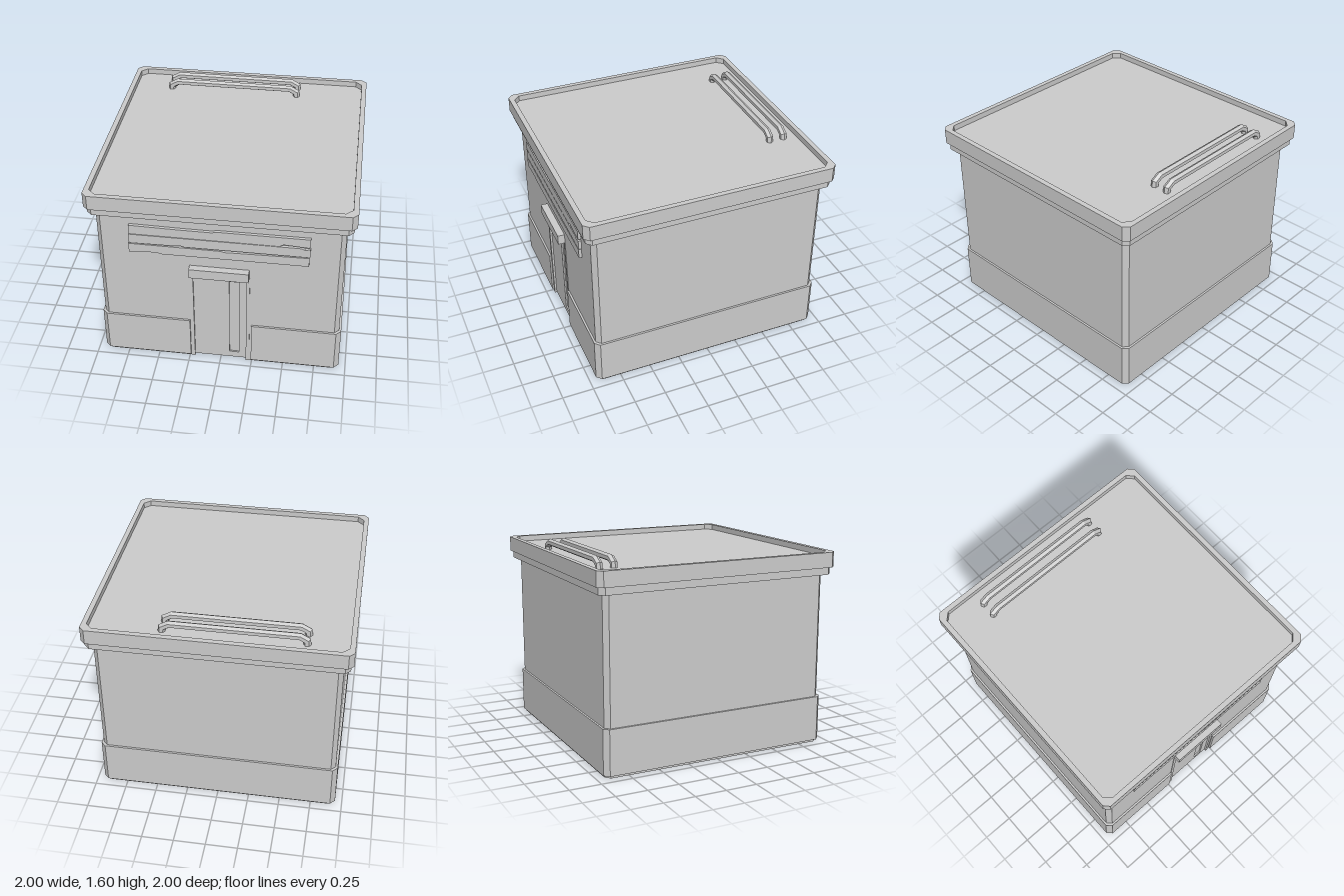
import * as THREE from 'three';

const material = new THREE.MeshStandardMaterial({ color: 0xcccccc, flatShading: true });

function add(group, name, geometry) {
  const mesh = new THREE.Mesh(geometry, material);
  mesh.name = name;
  group.add(mesh);
  return mesh;
}

function box(group, name, x0, x1, y0, y1, z0, z1) {
  const mesh = add(group, name, new THREE.BoxGeometry(x1 - x0, y1 - y0, z1 - z0));
  mesh.position.set((x0 + x1) / 2, (y0 + y1) / 2, (z0 + z1) / 2);
  return mesh;
}

// Corners of a square with cut corners, with an optional notch in the front (+z) side.
function plan(half, cut, notch) {
  const a = half - cut;
  const front = notch
    ? [[-a, half], [notch.x0, half], [notch.x0, notch.z], [notch.x1, notch.z], [notch.x1, half], [a, half]]
    : [[-a, half], [a, half]];
  return [...front, [half, a], [half, -a], [a, -half], [-a, -half], [-half, -a], [-half, a]]
    .map(([x, z]) => new THREE.Vector2(x, -z));
}

// Upright slab from y0 to y1 over a floor plan.
function slab(group, name, points, y0, y1, hole) {
  const shape = new THREE.Shape(points);
  if (hole) shape.holes.push(new THREE.Path(hole));
  const geometry = new THREE.ExtrudeGeometry(shape, { depth: y1 - y0, bevelEnabled: false });
  geometry.rotateX(-Math.PI / 2).translate(0, y0, 0);
  return add(group, name, geometry);
}

// Panel drawn in the front plane, from z0 to z1.
function panel(group, name, corners, z0, z1, hole) {
  const toPoints = (list) => list.map(([x, y]) => new THREE.Vector2(x, y));
  const shape = new THREE.Shape(toPoints(corners));
  if (hole) shape.holes.push(new THREE.Path(toPoints(hole)));
  const geometry = new THREE.ExtrudeGeometry(shape, { depth: z1 - z0, bevelEnabled: false });
  return add(group, name, geometry.translate(0, 0, z0));
}

const rect = (x0, x1, y0, y1) => [[x0, y0], [x1, y0], [x1, y1], [x0, y1]];

// Six-sided pipe along a path in the xy plane, with mitred bends and a ridge on top.
function pipeGeometry(path, radius, sides = 6) {
  const points = path.map(([x, y]) => new THREE.Vector2(x, y));
  const positions = [];
  const index = [];
  points.forEach((p, i) => {
    const before = p.clone().sub(points[Math.max(i - 1, 0)]).normalize();
    const after = points[Math.min(i + 1, points.length - 1)].clone().sub(p).normalize();
    const tangent = before.clone().add(after).normalize();
    const stretch = 1 / Math.max(tangent.dot(after), tangent.dot(before));
    for (let k = 0; k < sides; k++) {
      const angle = (k / sides) * Math.PI * 2;
      const out = Math.cos(angle) * radius * stretch;
      positions.push(p.x - tangent.y * out, p.y + tangent.x * out, Math.sin(angle) * radius);
      if (i === 0) continue;
      const a = (i - 1) * sides + k;
      const b = (i - 1) * sides + ((k + 1) % sides);
      index.push(a, b, a + sides, b, b + sides, a + sides);
    }
  });
  const geometry = new THREE.BufferGeometry();
  geometry.setAttribute('position', new THREE.Float32BufferAttribute(positions, 3));
  geometry.setIndex(index);
  geometry.computeVertexNormals();
  return geometry;
}

export function createModel() {
  const model = new THREE.Group();
  model.name = 'building';

  // Walls, with a shallow doorway in the lower part
  slab(model, 'lowerWalls', plan(0.93, 0.036, { x0: -0.21, x1: 0.205, z: 0.9 }), 0, 0.857);
  slab(model, 'upperWalls', plan(0.93, 0.036), 0.857, 1.4);

  // Skirting around the foot, open at the door
  slab(model, 'skirting', plan(0.946, 0.038, { x0: -0.24, x1: 0.245, z: 0.89 }), 0.02, 0.382);

  // Cornice and roof with a raised rim
  slab(model, 'cornice', plan(0.98, 0.04), 1.377, 1.436);
  slab(model, 'roofSlab', plan(0.99, 0.04), 1.436, 1.51);
  slab(model, 'roofRim', plan(1, 0.04), 1.436, 1.555, plan(0.96, 0.05));

  // Door with a tall narrow window
  const door = new THREE.Group();
  door.name = 'door';
  model.add(door);
  panel(door, 'doorLeaf', rect(-0.21, 0.205, 0.01, 0.857), 0.9, 0.918, rect(0.07, 0.145, 0.065, 0.797));
  box(door, 'doorWindow', 0.07, 0.145, 0.065, 0.797, 0.895, 0.906);
  box(door, 'doorPost', -0.235, -0.208, 0, 0.857, 0.89, 0.934);
  box(door, 'doorPost', 0.203, 0.23, 0, 0.857, 0.89, 0.934);
  box(door, 'lintel', -0.23, 0.226, 0.857, 0.938, 0.9, 0.985);

  // Weathered sign boards
  const boards = [
    [[-0.675, 1.21], [0.45, 1.207], [0.475, 1.225], [0.67, 1.212], [0.675, 1.29],
      [-0.02, 1.29], [-0.05, 1.281], [-0.3, 1.282], [-0.675, 1.288]],
    [[-0.68, 1.125], [-0.35, 1.128], [-0.29, 1.133], [-0.26, 1.125], [0.675, 1.125],
      [0.675, 1.2], [0.635, 1.19], [0.61, 1.203], [-0.68, 1.205]],
    [[-0.685, 1.04], [-0.52, 1.05], [-0.47, 1.05], [-0.44, 1.04], [0.67, 1.04],
      [0.67, 1.118], [0.1, 1.108], [0.04, 1.106], [0.01, 1.115], [-0.685, 1.118]],
  ];
  boards.forEach((corners) => panel(model, 'signBoard', corners, 0.92, 0.953));

  // Roof pipes
  const path = [[-0.655, 1.49], [-0.65, 1.545], [-0.598, 1.574], [0.36, 1.574], [0.412, 1.545], [0.417, 1.49]];
  for (const z of [-0.85, -0.732]) {
    add(model, 'roofPipe', pipeGeometry(path, 0.028)).position.z = z;
  }

  return model;
}
